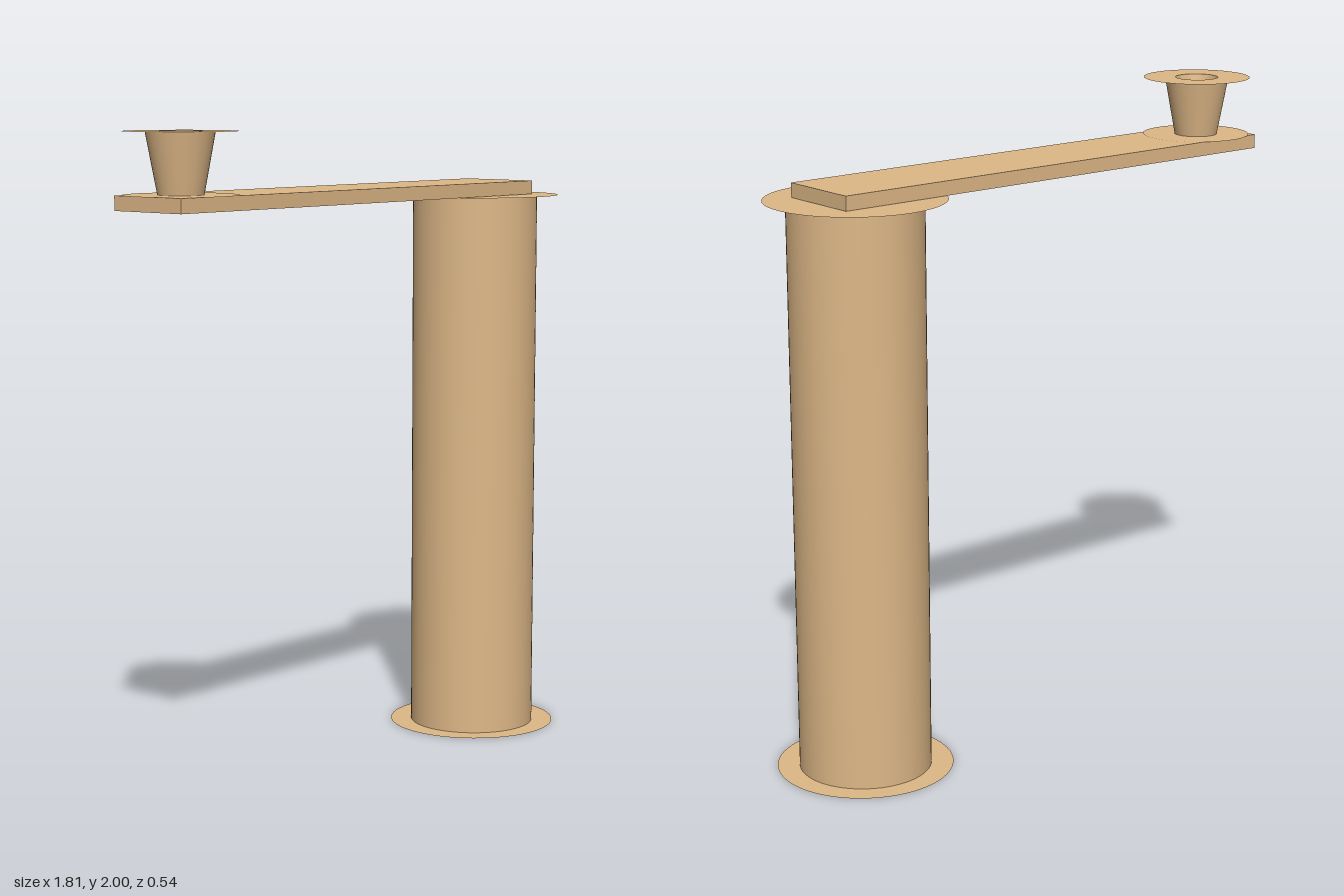
import * as THREE from 'three';

const material = new THREE.MeshStandardMaterial({ color: 0xdeb887, side: THREE.DoubleSide });
const WALL = 0.034;
const SEGMENTS = 64;

function add(parent, name, geometry, y) {
  const mesh = new THREE.Mesh(geometry, material);
  mesh.name = name;
  mesh.position.y = y;
  parent.add(mesh);
}

// Hollow spool: outer and inner walls, a paper-thin flange at each end,
// one end bored open and the other closed.
function spool(name, { rTop, rBottom, flange, height, openTop }) {
  const group = new THREE.Group();
  group.name = name;
  const wall = (inset) =>
    new THREE.CylinderGeometry(rTop - inset, rBottom - inset, height, SEGMENTS, 1, true);
  add(group, 'outerWall', wall(0), height / 2);
  add(group, 'boreWall', wall(WALL), height / 2);

  const openRadius = (openTop ? rTop : rBottom) - WALL;
  const ring = new THREE.RingGeometry(openRadius, flange, SEGMENTS);
  const disc = new THREE.CircleGeometry(flange, SEGMENTS);
  ring.rotateX(-Math.PI / 2);
  disc.rotateX(-Math.PI / 2);
  add(group, 'topFlange', openTop ? ring : disc, height);
  add(group, 'bottomFlange', openTop ? disc : ring, 0);
  return group;
}

export function createModel() {
  const model = new THREE.Group();
  model.name = 'crankHandle';

  // Tall post, open at the bottom
  const post = spool('post', {
    rTop: 0.204, rBottom: 0.204, flange: 0.272, height: 1.771, openTop: false,
  });
  post.position.x = 0.633;
  model.add(post);

  // Flat crank arm
  const arm = new THREE.BoxGeometry(1.635, 0.044, 0.27);
  arm.translate(-0.053, 0, 0);
  add(model, 'arm', arm, 1.794);

  // Flared knob, open at the top
  const knob = spool('knob', {
    rTop: 0.102, rBottom: 0.068, flange: 0.17, height: 0.183, openTop: true,
  });
  knob.position.set(-0.735, 1.817, 0);
  model.add(knob);

  return model;
}
